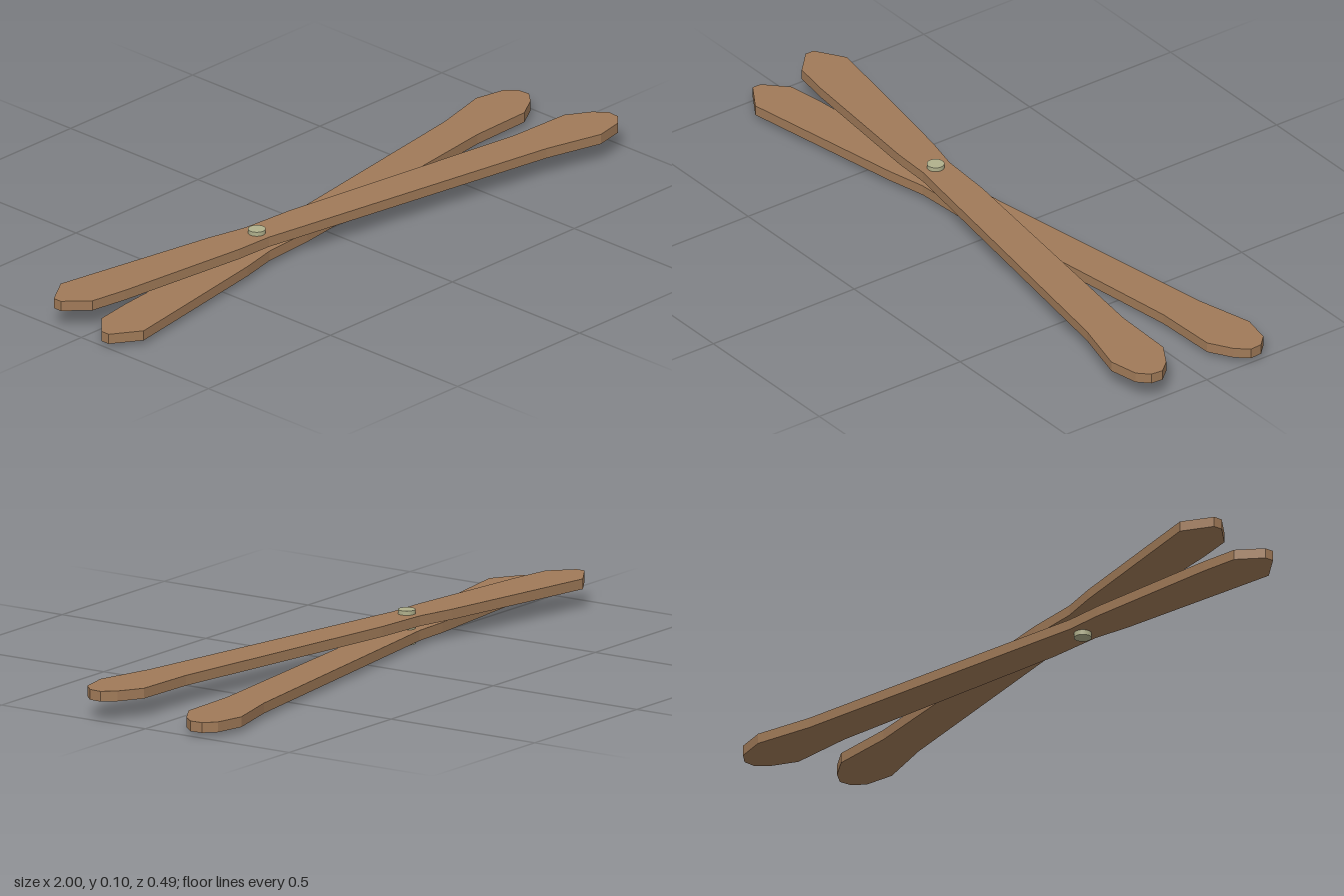
import * as THREE from 'three';

// Outline of one board as [x, z], running along one edge and back along the other
const OUTLINE = [
  [-1, -0.08], [-0.936, -0.018], [-0.82, 0], [-0.396, 0.042], [-0.278, 0.046],
  [-0.16, 0.065], [0.7, 0.2], [0.875, 0.245], [0.965, 0.227], [0.997, 0.195],
  [1, 0.157], [0.968, 0.12], [0.898, 0.078], [0.7, 0.072], [-0.11, -0.037],
  [-0.278, -0.048], [-0.396, -0.075], [-0.754, -0.136], [-0.914, -0.163], [-1, -0.108],
];
const THICKNESS = 0.03;

// Flat board lying in the xz plane; side = -1 mirrors it across z
function board(name, side, y, material) {
  const shape = new THREE.Shape(OUTLINE.map(([x, z]) => new THREE.Vector2(x, -z * side)));
  const geometry = new THREE.ExtrudeGeometry(shape, { depth: THICKNESS, bevelEnabled: false });
  geometry.rotateX(-Math.PI / 2);
  const mesh = new THREE.Mesh(geometry, material);
  mesh.name = name;
  mesh.position.y = y;
  return mesh;
}

export function createModel() {
  const wood = new THREE.MeshStandardMaterial({ color: 0xa07a58 });
  wood.name = 'wood';
  const metal = new THREE.MeshStandardMaterial({ color: 0xb0b08c });
  metal.name = 'pinMetal';

  const model = new THREE.Group();
  model.name = 'crossedBoards';

  // Two mirrored boards, one above the other
  model.add(board('upperBoard', 1, 0.0575, wood));
  model.add(board('lowerBoard', -1, 0.0145, wood));

  // Pivot pin through both boards
  const pin = new THREE.Mesh(new THREE.CylinderGeometry(0.025, 0.025, 0.1, 24), metal);
  pin.name = 'pivotPin';
  pin.position.set(-0.28, 0.05, 0);
  model.add(pin);

  return model;
}
